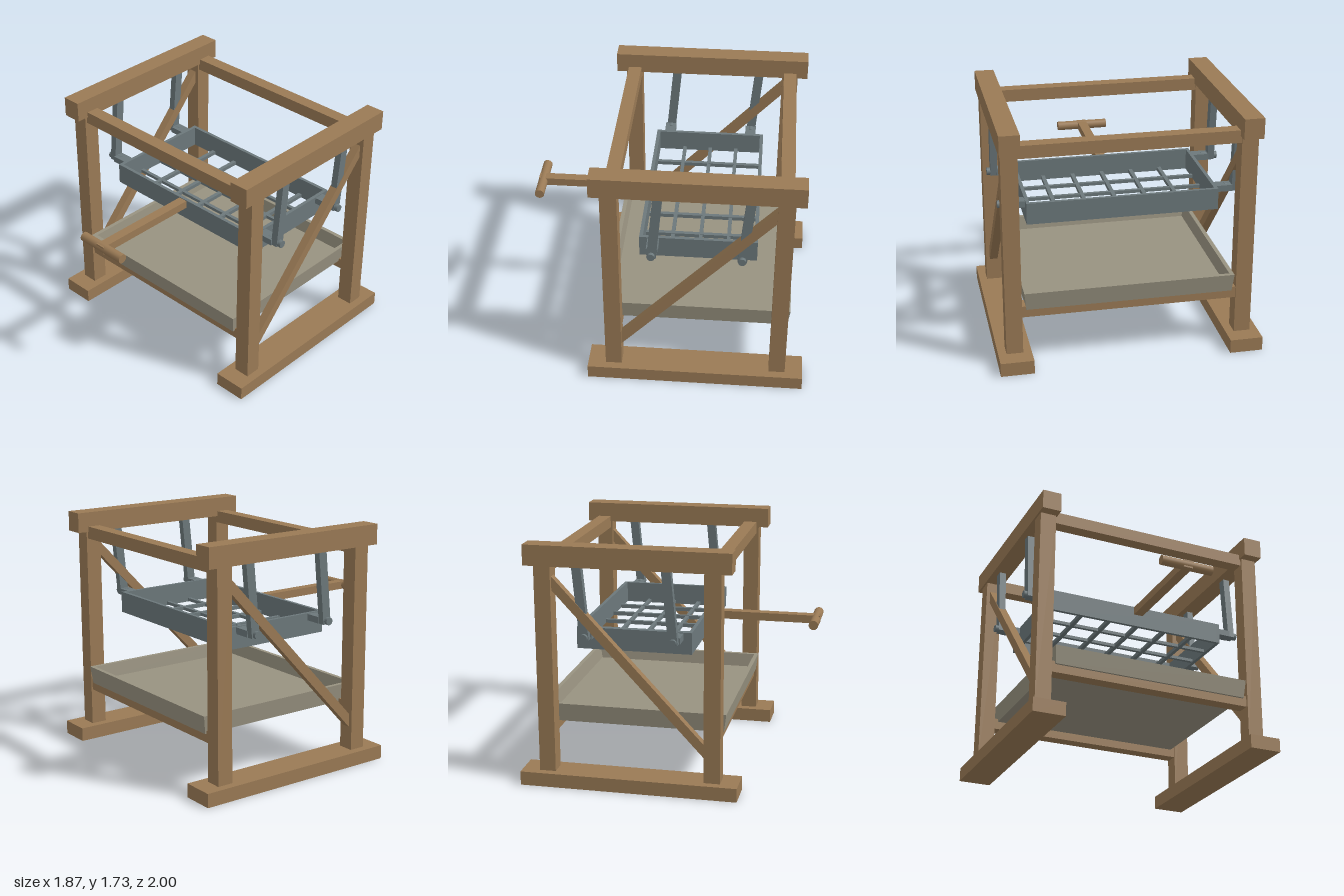
import * as THREE from 'three';

const CZ = -0.225; // the frame is symmetric about this depth
const wood = new THREE.MeshStandardMaterial({ name: 'wood', color: 0x9a7a55 });
const steel = new THREE.MeshStandardMaterial({ name: 'steel', color: 0x6c787b });
const trayGrey = new THREE.MeshStandardMaterial({ name: 'trayGrey', color: 0x989280 });

function add(parent, name, geometry, material, x, y, z) {
  const mesh = new THREE.Mesh(geometry, material);
  mesh.name = name;
  mesh.position.set(x, y, z);
  parent.add(mesh);
  return mesh;
}

// Box given by its lower and upper limits on each axis
function box(parent, name, material, [x0, x1], [y0, y1], [z0, z1]) {
  return add(parent, name, new THREE.BoxGeometry(x1 - x0, y1 - y0, z1 - z0), material,
    (x0 + x1) / 2, (y0 + y1) / 2, (z0 + z1) / 2);
}

// Square bar between two points in a plane of constant x
function bar(parent, name, material, x, [ya, za], [yb, zb], thick, wide) {
  const dy = yb - ya, dz = zb - za;
  const mesh = add(parent, name, new THREE.BoxGeometry(thick, Math.hypot(dy, dz), wide), material,
    x, (ya + yb) / 2, (za + zb) / 2);
  mesh.rotation.x = Math.atan2(dz, dy);
  return mesh;
}

function cylinderX(parent, name, material, radius, length, x, y, z, sides) {
  const g = new THREE.CylinderGeometry(radius, radius, length, sides).rotateZ(Math.PI / 2);
  return add(parent, name, g, material, x, y, z);
}

// Rectangular rings [halfX, y, halfZ] joined in order, first and last ones capped
function rectLoft(rings) {
  const pos = [];
  const corner = ([hx, y, hz], i) => [[-hx, y, hz], [hx, y, hz], [hx, y, -hz], [-hx, y, -hz]][i % 4];
  const quad = (a, b, c, d) => pos.push(...a, ...b, ...c, ...a, ...c, ...d);
  for (let r = 0; r < rings.length - 1; r++) {
    for (let i = 0; i < 4; i++) {
      quad(corner(rings[r], i), corner(rings[r], i + 1), corner(rings[r + 1], i + 1), corner(rings[r + 1], i));
    }
  }
  const first = rings[0], last = rings[rings.length - 1];
  quad(...[3, 2, 1, 0].map(i => corner(first, i)));
  quad(...[0, 1, 2, 3].map(i => corner(last, i)));
  const g = new THREE.BufferGeometry();
  g.setAttribute('position', new THREE.Float32BufferAttribute(pos, 3));
  g.computeVertexNormals();
  return g;
}

function buildFrame() {
  const frame = new THREE.Group();
  frame.name = 'frame';
  for (const s of [-1, 1]) {
    const span = (a, b) => (s > 0 ? [a, b] : [-b, -a]);
    box(frame, 'foot', wood, span(0.70, 0.935), [0, 0.10], [-1.0, 0.55]);
    box(frame, 'topBeam', wood, span(0.75, 0.89), [1.585, 1.73], [-0.945, 0.495]);
    for (const z of [0.365, -0.815]) {
      box(frame, 'post', wood, span(0.76, 0.877), [0.10, 1.585], [z - 0.058, z + 0.058]);
    }
    bar(frame, 'brace', wood, s * 0.82, [0.276, 0.345], [1.498, -0.792], 0.06, 0.066);
  }
  // Cross rails between the two side frames
  for (const z of [0.358, -0.815]) {
    box(frame, 'upperRail', wood, [-0.77, 0.77], [1.535, 1.625], [z - 0.048, z + 0.048]);
    box(frame, 'lowerRail', wood, [-0.77, 0.77], [0.37, 0.452], [z - 0.048, z + 0.048]);
  }
  return frame;
}

function buildSieve() {
  const sieve = new THREE.Group();
  sieve.name = 'sieve';
  const X = 0.68, Z = 0.41, t = 0.025, wallY = [0.96, 1.115];
  for (const s of [-1, 1]) {
    const x = s * (X - t / 2), z = CZ + s * (Z - t / 2);
    box(sieve, 'sieveSideWall', steel, [x - t / 2, x + t / 2], wallY, [CZ - Z, CZ + Z]);
    box(sieve, 'sieveEndWall', steel, [t - X, X - t], wallY, [z - t / 2, z + t / 2]);
  }
  // Grid in the bottom of the box
  for (let i = -2; i <= 2; i++) {
    const x = i * 0.222;
    box(sieve, 'longGridBar', steel, [x - 0.014, x + 0.014], [0.963, 0.99], [CZ - Z + t, CZ + Z - t]);
  }
  for (let i = -1; i <= 1; i++) {
    const z = CZ - 0.005 + i * 0.198;
    box(sieve, 'crossGridBar', steel, [t - X, X - t], [0.965, 0.988], [z - 0.013, z + 0.013]);
  }
  // Lugs, pivots and swinging hangers
  for (const s of [-1, 1]) {
    for (const z of [0.087, -0.535]) {
      const lug = s > 0 ? [0.66, 0.80] : [-0.80, -0.66];
      box(sieve, 'lug', steel, lug, [1.064, 1.11], [z - 0.04, z + 0.04]);
      bar(sieve, 'hanger', steel, s * 0.82, [1.065, z], [1.60, z - 0.05], 0.05, 0.065);
      cylinderX(sieve, 'pivotPin', steel, 0.027, 0.12, s * 0.81, 1.087, z, 16);
    }
  }
  return sieve;
}

export function createModel() {
  const model = new THREE.Group();
  model.name = 'swingingSieve';
  model.add(buildFrame(), buildSieve());

  // Push handle with a cross grip
  const handle = new THREE.Group();
  handle.name = 'handle';
  box(handle, 'handleShaft', wood, [-0.035, 0.035], [1.052, 1.11], [0.18, 0.995]);
  cylinderX(handle, 'handleGrip', wood, 0.034, 0.39, 0, 1.081, 0.966, 16);
  model.add(handle);

  // Catch tray with flared walls
  const tray = rectLoft([
    [0.73, 0.43, 0.647], [0.743, 0.56, 0.665], [0.713, 0.56, 0.635], [0.698, 0.46, 0.617],
  ]);
  add(model, 'catchTray', tray, trayGrey, 0, 0, CZ);
  return model;
}
